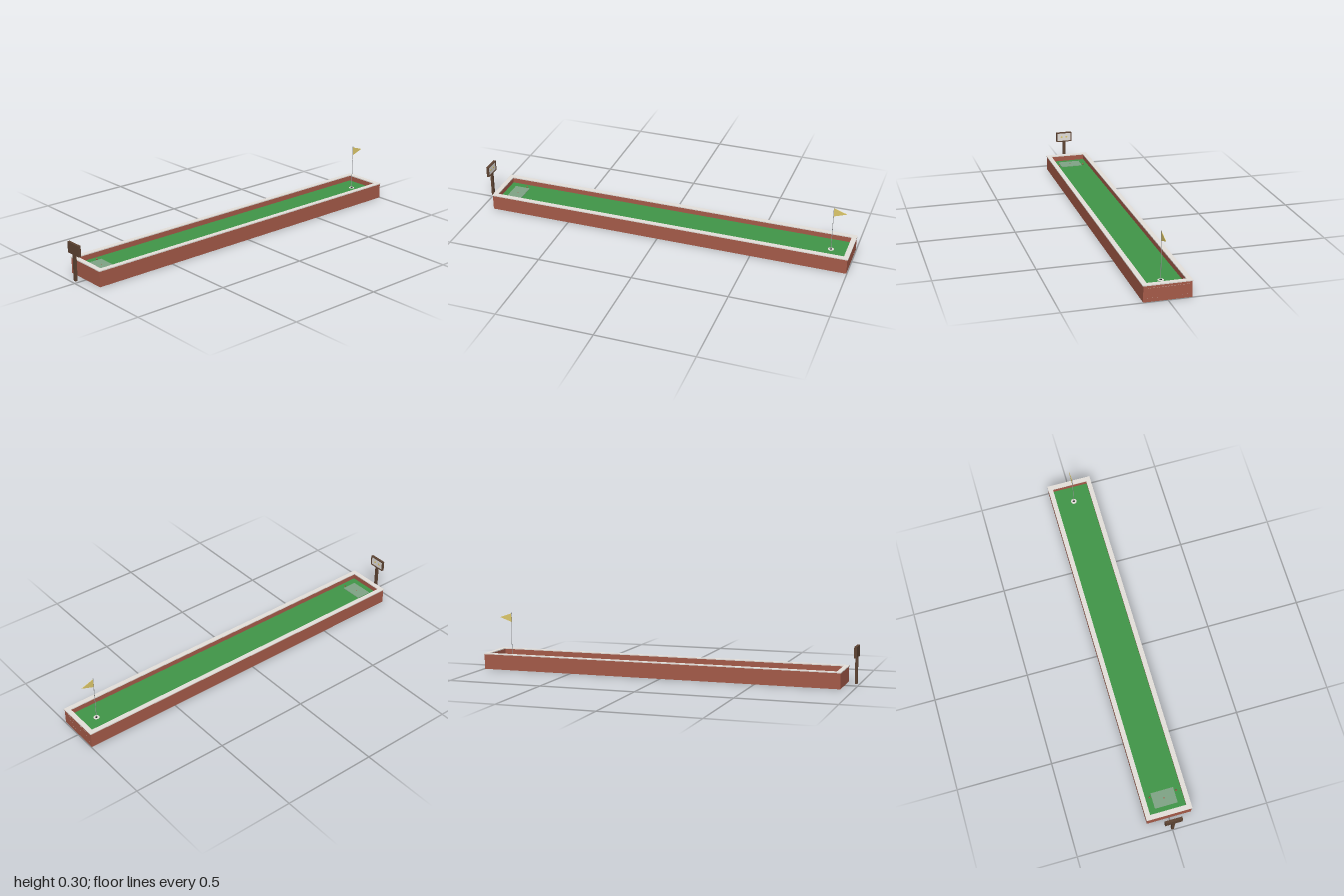
import * as THREE from 'three';

const mat = (name, color) => {
  const m = new THREE.MeshStandardMaterial({ color });
  m.name = name;
  return m;
};

export function createModel() {
  const brick = mat('brick red', 0xa65b49);
  const stone = mat('pale stone', 0xe5e1dc);
  const green = mat('turf green', 0x419748);
  const matGreen = mat('tee mat grey green', 0x80a586);
  const slab = mat('concrete grey', 0xa8a59e);
  const wood = mat('dark wood', 0x5e4433);
  const gold = mat('gold', 0xe0ca6c);
  const steel = mat('grey steel', 0x9a9c9e);
  const black = mat('cup black', 0x1c1c1c);
  gold.side = THREE.DoubleSide;

  const root = new THREE.Group();
  const add = (name, geo, material, x = 0, y = 0, z = 0, parent = root) => {
    const m = new THREE.Mesh(geo, material);
    m.name = name;
    m.position.set(x, y, z);
    parent.add(m);
    return m;
  };
  const box = (name, material, w, h, d, x, y, z, parent) =>
    add(name, new THREE.BoxGeometry(w, h, d), material, x, y, z, parent);

  // Rectangular ring lying flat, centred on the lane
  const cx = 0.031;
  const ring = (name, material, halfX, halfZ, width, y, h) => {
    const rect = (target, a, b) => {
      target.moveTo(-a, -b);
      target.lineTo(a, -b);
      target.lineTo(a, b);
      target.lineTo(-a, b);
      target.closePath();
      return target;
    };
    const s = rect(new THREE.Shape(), halfX, halfZ);
    s.holes.push(rect(new THREE.Path(), halfX - width, halfZ - width));
    const g = new THREE.ExtrudeGeometry(s, { depth: h, bevelEnabled: false });
    g.rotateX(-Math.PI / 2);
    return add(name, g, material, cx, y, 0);
  };

  // Walls, coping and floor
  ring('brickWall', brick, 0.966, 0.117, 0.02, 0, 0.08);
  ring('coping', stone, 0.969, 0.12, 0.025, 0.08, 0.005);
  box('baseSlab', slab, 1.93, 0.045, 0.196, cx, 0.0245, 0);
  box('turf', green, 1.93, 0.005, 0.196, cx, 0.0495, 0);
  const top = 0.052;

  // Small mortar specks on the far end wall
  const endX = cx + 0.966;
  for (const y of [0.019, 0.0425]) {
    for (let i = -4; i <= 4; i++) box('mortarSpeck', stone, 0.0005, 0.0018, 0.0018, endX, y, i * 0.0238);
  }
  for (let i = -14; i <= 14; i++) box('mortarSpeck', stone, 0.0005, 0.0018, 0.0025, endX, 0.0675, i * 0.0071);

  // Tee mat with ball spot and side markers
  box('teeMat', matGreen, 0.082, 0.003, 0.12, -0.842, top + 0.0015, 0);
  add('teeSpot', new THREE.CylinderGeometry(0.003, 0.003, 0.002, 16), brick, -0.842, top + 0.003, 0);
  for (const s of [-1, 1]) {
    add('teeMarker', new THREE.SphereGeometry(0.0045, 16, 10), brick, -0.82, top + 0.003, s * 0.07);
  }

  // Cup
  const hole = new THREE.Group();
  hole.name = 'hole';
  hole.position.set(0.89, top, 0);
  root.add(hole);
  add('cupRim', new THREE.CylinderGeometry(0.015, 0.015, 0.002, 32), stone, 0, 0.0005, 0, hole);
  add('cupOpening', new THREE.CylinderGeometry(0.006, 0.006, 0.001, 32), black, 0, 0.0015, 0, hole);

  // Flag on its pole
  add('flagPole', new THREE.CylinderGeometry(0.0014, 0.0014, 0.242, 12), steel, 0, 0.121, 0, hole);
  add('poleFinial', new THREE.SphereGeometry(0.0025, 12, 8), steel, 0, 0.2415, 0, hole);
  const pennant = new THREE.Shape([
    new THREE.Vector2(0, 0.193),
    new THREE.Vector2(0.067, 0.217),
    new THREE.Vector2(0, 0.24),
  ]);
  add('flag', new THREE.ExtrudeGeometry(pennant, { depth: 0.002, bevelEnabled: false }), gold, 0, 0, -0.001, hole);

  // Sign at the tee end, facing down the lane
  const sign = new THREE.Group();
  sign.name = 'sign';
  sign.position.set(-0.993, 0, 0);
  root.add(sign);
  const mid = 0.1745;
  box('signPost', wood, 0.013, 0.138, 0.014, 0, 0.081, 0, sign);
  box('signBoard', wood, 0.008, 0.056, 0.09, -0.003, mid, 0, sign);
  box('signPanel', stone, 0.002, 0.047, 0.08, 0.002, mid, 0, sign);
  for (const s of [-1, 1]) {
    box('signFrameRail', wood, 0.007, 0.005, 0.09, 0.003, mid + s * 0.0255, 0, sign);
    box('signFrameStile', wood, 0.007, 0.056, 0.005, 0.003, mid, s * 0.0425, sign);
    const disc = add('signDisc', new THREE.CylinderGeometry(0.0055, 0.0055, 0.002, 24), gold, 0.0035, mid, s * 0.0145, sign);
    disc.rotation.z = Math.PI / 2;
  }

  return root;
}
